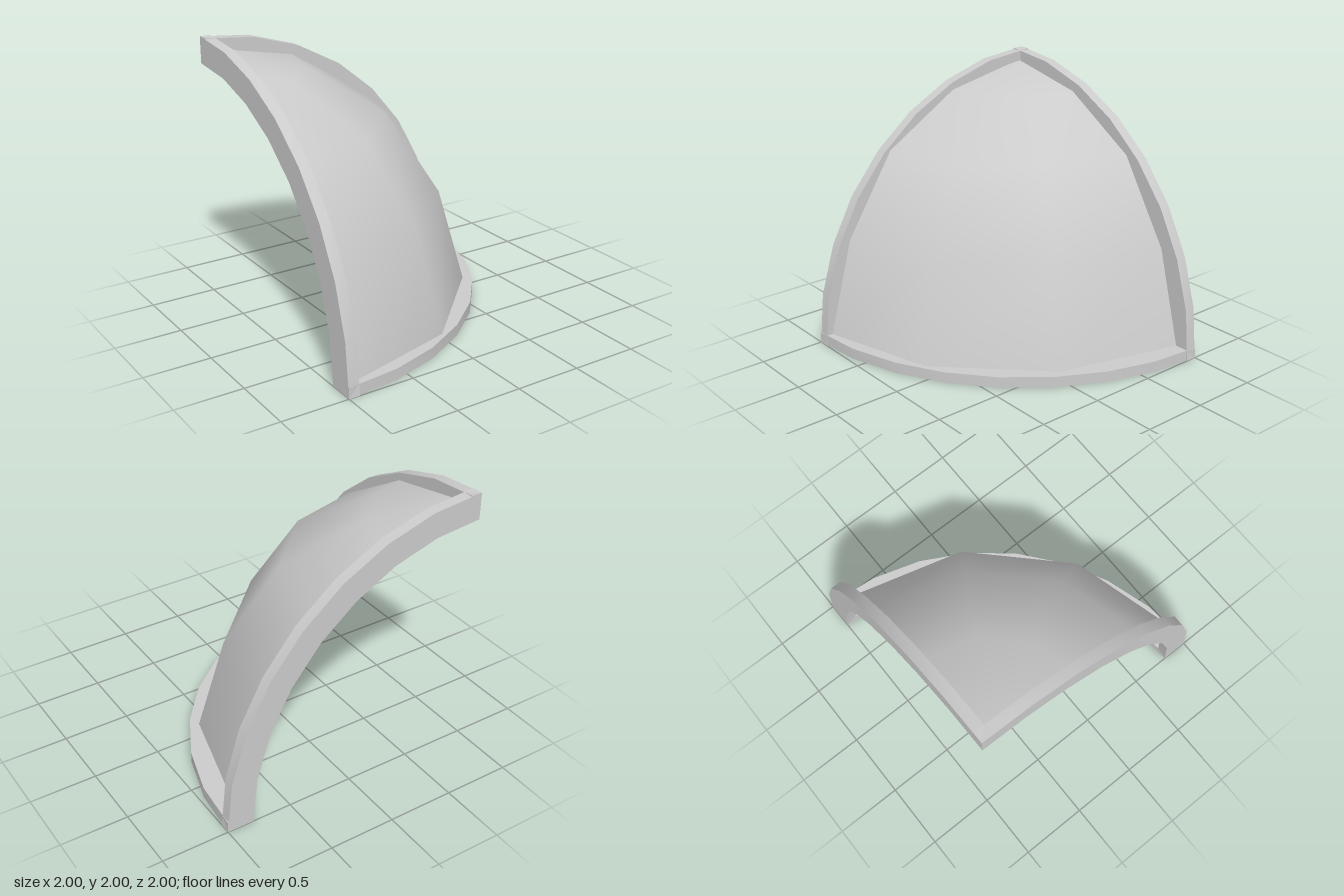
import * as THREE from 'three';
import { toCreasedNormals } from 'three/addons/utils/BufferGeometryUtils.js';

export function createModel() {
  const model = new THREE.Group();
  const material = new THREE.MeshStandardMaterial({ color: 0xcccccc, side: THREE.DoubleSide });

  // Quarter ring with eight straight segments, shared by the three rims
  const outer = 2, inner = 1.8, thickness = 0.083, segments = 8;
  const arc = (radius) => Array.from({ length: segments + 1 }, (_, i) => {
    const a = (i / segments) * Math.PI / 2;
    return new THREE.Vector2(radius * Math.cos(a), radius * Math.sin(a));
  });
  const ring = new THREE.Shape([...arc(outer), ...arc(inner).reverse()]);
  const rimGeometry = toCreasedNormals(
    new THREE.ExtrudeGeometry(ring, { depth: thickness, bevelEnabled: false }), 0.6);

  // One rim lies against each of the three planes of the octant
  const X = new THREE.Vector3(1, 0, 0), Y = new THREE.Vector3(0, 1, 0), Z = new THREE.Vector3(0, 0, 1);
  const rims = { backRim: [X, Y, Z], sideRim: [Y, Z, X], baseRim: [Z, X, Y] };
  for (const [name, axes] of Object.entries(rims)) {
    const rim = new THREE.Mesh(rimGeometry, material);
    rim.name = name;
    rim.quaternion.setFromRotationMatrix(new THREE.Matrix4().makeBasis(...axes));
    rim.position.set(-1, 0, -1);
    model.add(rim);
  }

  // Domed panel with a wall as thick as the rims: inner skin up, outer skin down
  const toPoints = (pairs) => pairs.map(([r, y]) => new THREE.Vector2(r, y));
  const outerSkin = toPoints([[0, 1.93], [0.7, 1.79], [1.296, 1.425], [1.69, 0.8], [1.9, 0.03]]);
  const innerSkin = toPoints([[1.82, 0.03], [1.613, 0.765], [1.238, 1.366], [0.67, 1.712], [0, 1.847]]);
  const panel = new THREE.Group();
  panel.name = 'domePanel';
  panel.position.set(-1, 0, -0.917);
  const skin = new THREE.LatheGeometry([...outerSkin, ...innerSkin], 3, 0, Math.PI / 2);
  const wall = new THREE.Mesh(toCreasedNormals(skin, 1), material);
  wall.name = 'panelWall';
  panel.add(wall);

  // Flat ends of the panel wall
  const endGeometry = new THREE.ShapeGeometry(new THREE.Shape([...outerSkin, ...innerSkin]));
  for (const angle of [0, -Math.PI / 2]) {
    const end = new THREE.Mesh(endGeometry, material);
    end.name = 'panelEnd';
    end.rotation.y = angle;
    panel.add(end);
  }
  model.add(panel);

  return model;
}
